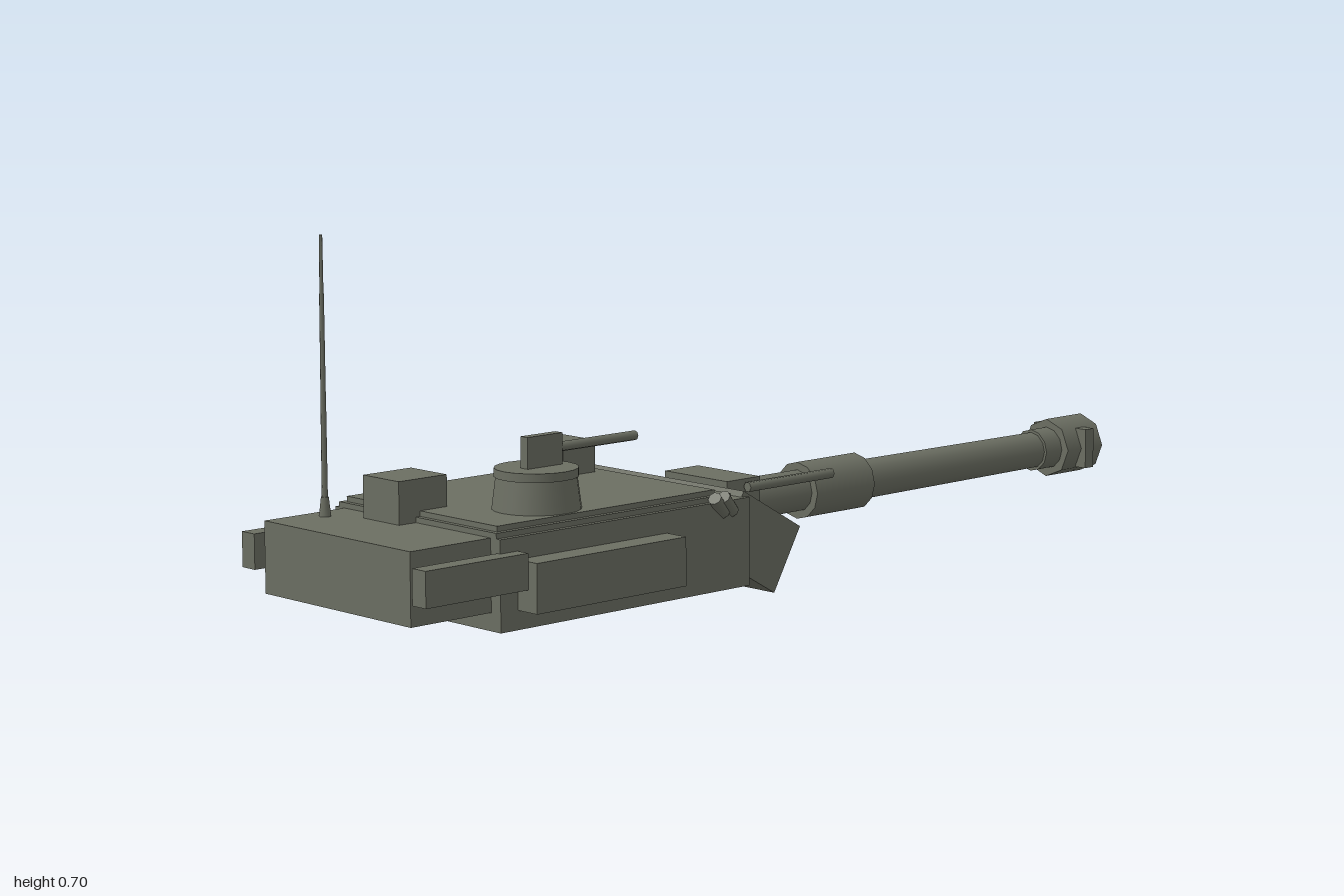
import * as THREE from 'three';

const mat = (name, color, flat = false) => {
  const m = new THREE.MeshStandardMaterial({ color });
  m.name = name;
  m.flatShading = flat;
  return m;
};

export function createModel() {
  const model = new THREE.Group();
  model.name = 'tankTurret';
  const armour = mat('armourGreen', 0x6b6e62);
  const dark = mat('boreBlack', 0x2b2b2b);
  const glass = mat('sightGlass', 0x465866);

  const add = (name, geometry, material = armour) => {
    const mesh = new THREE.Mesh(geometry, material);
    mesh.name = name;
    model.add(mesh);
    return mesh;
  };
  // box given by its extents along each axis
  const box = (name, [x0, x1], [y0, y1], [z0, z1], material) => {
    const m = add(name, new THREE.BoxGeometry(x1 - x0, y1 - y0, z1 - z0), material);
    m.position.set((x0 + x1) / 2, (y0 + y1) / 2, (z0 + z1) / 2);
    return m;
  };
  // cylinder between two points, r0 at the start and r1 at the end
  const rod = (name, from, to, r0, r1 = r0, sides = 12, material) => {
    const a = new THREE.Vector3(...from), b = new THREE.Vector3(...to);
    const dir = b.clone().sub(a);
    const m = add(name, new THREE.CylinderGeometry(r1, r0, dir.length(), sides), material);
    m.position.copy(a).add(b).multiplyScalar(0.5);
    m.quaternion.setFromUnitVectors(new THREE.Vector3(0, 1, 0), dir.normalize());
    return m;
  };

  // turret shell, roof plate and rear bustle
  box('turretBody', [-0.81, -0.207], [0.025, 0.19], [-0.228, 0.228]);
  box('roofStep', [-0.81, -0.245], [0.19, 0.2], [-0.218, 0.218]);
  box('roofPlate', [-0.8, -0.278], [0.2, 0.21], [-0.208, 0.208]);
  box('bustle', [-0.99, -0.81], [0.058, 0.19], [-0.203, 0.203]);

  // wedge-like front armour, a tilted block
  const cheek = add('frontArmour', new THREE.BoxGeometry(0.169, 0.135, 0.438));
  cheek.position.set(-0.174, 0.1, 0);
  cheek.rotation.z = -Math.PI / 6;

  // stowage and smoke launchers on both sides
  for (const s of [-1, 1]) {
    const span = (a, b) => (s > 0 ? [a, b] : [-b, -a]);
    box('sideBox', [-0.77, -0.415], [0.06, 0.15], span(0.228, 0.278));
    box('rearSideBox', [-1, -0.77], [0.1, 0.165], span(0.22, 0.256));
    box('rearBoxBracket', [-0.95, -0.82], [0.115, 0.15], span(0.2, 0.222));
    for (const o of [0, 0.022]) {
      rod('smokeLauncher', [-0.302 + o, 0.2, s * 0.234], [-0.268 + o, 0.168, s * 0.222], 0.013, 0.013, 8);
    }
  }

  // main gun along +x
  const Y = 0.13;
  const barrel = (name, x0, x1, r0, r1, sides, material) =>
    rod(name, [x0, Y, 0], [x1, Y, 0], r0, r1, sides, material);
  box('mantlet', [-0.127, -0.04], [0.06, 0.191], [-0.085, 0.085]);
  barrel('gunBarrel', -0.06, 0.9, 0.042, 0.037, 12);
  barrel('boreEvacuator', 0.145, 0.305, 0.056, 0.056, 12);
  barrel('muzzleCollar', 0.83, 0.88, 0.043, 0.043, 12);
  barrel('muzzleBrake', 0.878, 0.986, 0.06, 0.06, 8);
  barrel('bore', 0.95, 1, 0.025, 0.025, 10, dark);
  box('muzzleVents', [0.92, 0.945], [0.09, 0.171], [-0.071, 0.071]);
  rod('coaxialGun', [-0.085, 0.177, 0.097], [0.14, 0.177, 0.097], 0.01, 0.01, 6);

  // commander's cupola with a machine gun
  const cx = -0.633, cz = 0.122;
  rod('cupola', [cx, 0.208, cz], [cx, 0.27, cz], 0.081, 0.073, 20);
  rod('cupolaHatch', [cx, 0.268, cz], [cx, 0.284, cz], 0.076, 0.076, 20);
  box('machineGunBody', [-0.662, -0.58], [0.284, 0.341], [0.113, 0.132]);
  rod('machineGunBarrel', [-0.64, 0.314, cz], [-0.395, 0.314, cz], 0.009, 0.009, 8);

  // roof boxes and the glazed sight
  box('roofBox', [-0.848, -0.738], [0.19, 0.268], [-0.1, 0]);
  box('sightHousing', [-0.385, -0.305], [0.205, 0.271], [-0.178, -0.087]);
  box('sightWindow', [-0.305, -0.299], [0.223, 0.262], [-0.168, -0.095], glass);

  // stepped whip antenna
  const mast = [[0.19, 0.225, 0.011, 0.007], [0.22, 0.4, 0.0055, 0.005],
    [0.4, 0.59, 0.0048, 0.0042], [0.59, 0.695, 0.0036, 0.003]];
  for (const [y0, y1, r0, r1] of mast) {
    rod('antenna', [-0.885, y0, -0.163], [-0.885, y1, -0.163], r0, r1, 8);
  }
  return model;
}
